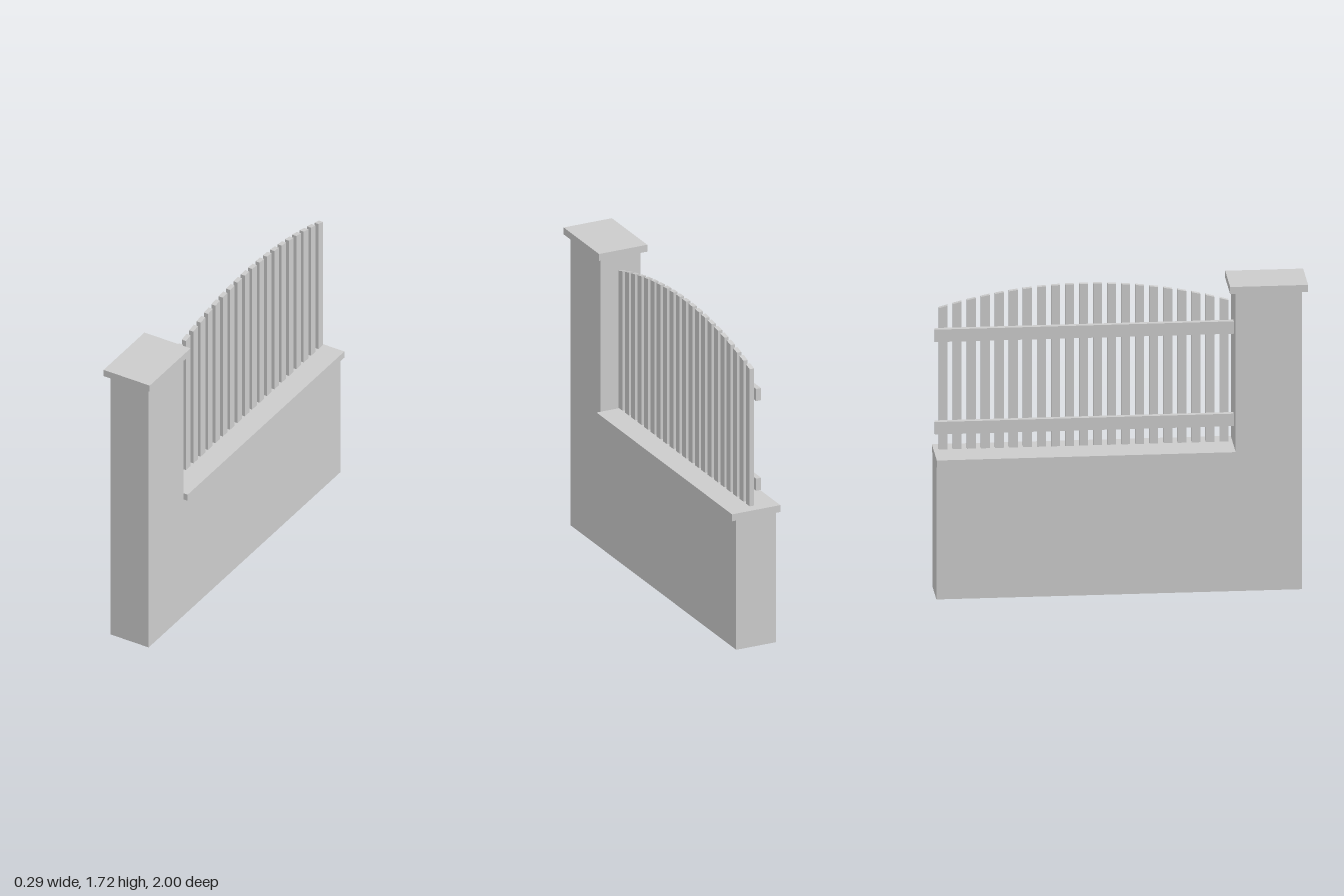
import * as THREE from 'three';

const grey = new THREE.MeshStandardMaterial({ color: 0xcccccc, flatShading: true });
const greyOpen = new THREE.MeshStandardMaterial({ color: 0xcccccc, flatShading: true, side: THREE.DoubleSide });

// Box given by its limits on each axis
function box(name, [x0, x1], [y0, y1], [z0, z1]) {
  const mesh = new THREE.Mesh(new THREE.BoxGeometry(x1 - x0, y1 - y0, z1 - z0), grey);
  mesh.position.set((x0 + x1) / 2, (y0 + y1) / 2, (z0 + z1) / 2);
  mesh.name = name;
  return mesh;
}

// Side profile of [z, y] points, extruded from x0 to x1
function extrudeSide(points, x0, x1) {
  const shape = new THREE.Shape(points.map(([z, y]) => new THREE.Vector2(z, y)));
  return new THREE.ExtrudeGeometry(shape, { depth: x1 - x0, bevelEnabled: false })
    .rotateY(-Math.PI / 2).translate(x1, 0, 0);
}

// Drop the triangles lying on the ground, leaving the base open
function openBase(geometry) {
  const p = geometry.attributes.position;
  const kept = [];
  for (let i = 0; i < p.count; i += 3) {
    if (Math.max(p.getY(i), p.getY(i + 1), p.getY(i + 2)) < 1e-4) continue;
    for (let j = i; j < i + 3; j++) kept.push(p.getX(j), p.getY(j), p.getZ(j));
  }
  const open = new THREE.BufferGeometry();
  open.setAttribute('position', new THREE.Float32BufferAttribute(kept, 3));
  open.computeVertexNormals();
  return open;
}

export function createModel() {
  const model = new THREE.Group();
  model.name = 'fenceSection';

  // Hollow masonry: low wall and pillar in one L-shaped body
  const profile = [[-1, 0], [0.97, 0], [0.97, 1.68], [0.61, 1.68], [0.61, 0.75], [-1, 0.75]];
  const wall = new THREE.Mesh(openBase(extrudeSide(profile, -0.12, 0.12)), greyOpen);
  wall.name = 'wallAndPillar';
  model.add(wall);

  // Overhanging slabs
  model.add(box('pillarCap', [-0.145, 0.145], [1.68, 1.72], [0.58, 1]));
  model.add(box('wallCoping', [-0.145, 0.145], [0.75, 0.79], [-1, 0.61]));

  // Two rails behind the pickets
  model.add(box('lowerRail', [-0.03, 0], [0.9, 0.97], [-1, 0.61]));
  model.add(box('upperRail', [-0.03, 0], [1.42, 1.49], [-1, 0.61]));

  // Pickets with their tops cut along a shallow arch
  const pickets = new THREE.Group();
  pickets.name = 'pickets';
  const arch = (z) => 1.715 - 0.115 * ((z + 0.196) / 0.78) ** 2;
  for (let i = 0; i < 21; i++) {
    const z1 = 0.584 - i * 0.0756;
    const z0 = z1 - 0.047;
    const outline = [[z0, 0.805], [z1, 0.805], [z1, arch(z1)], [z0, arch(z0)]];
    const picket = new THREE.Mesh(extrudeSide(outline, 0, 0.026), grey);
    picket.name = 'picket';
    pickets.add(picket);
  }
  model.add(pickets);
  return model;
}
